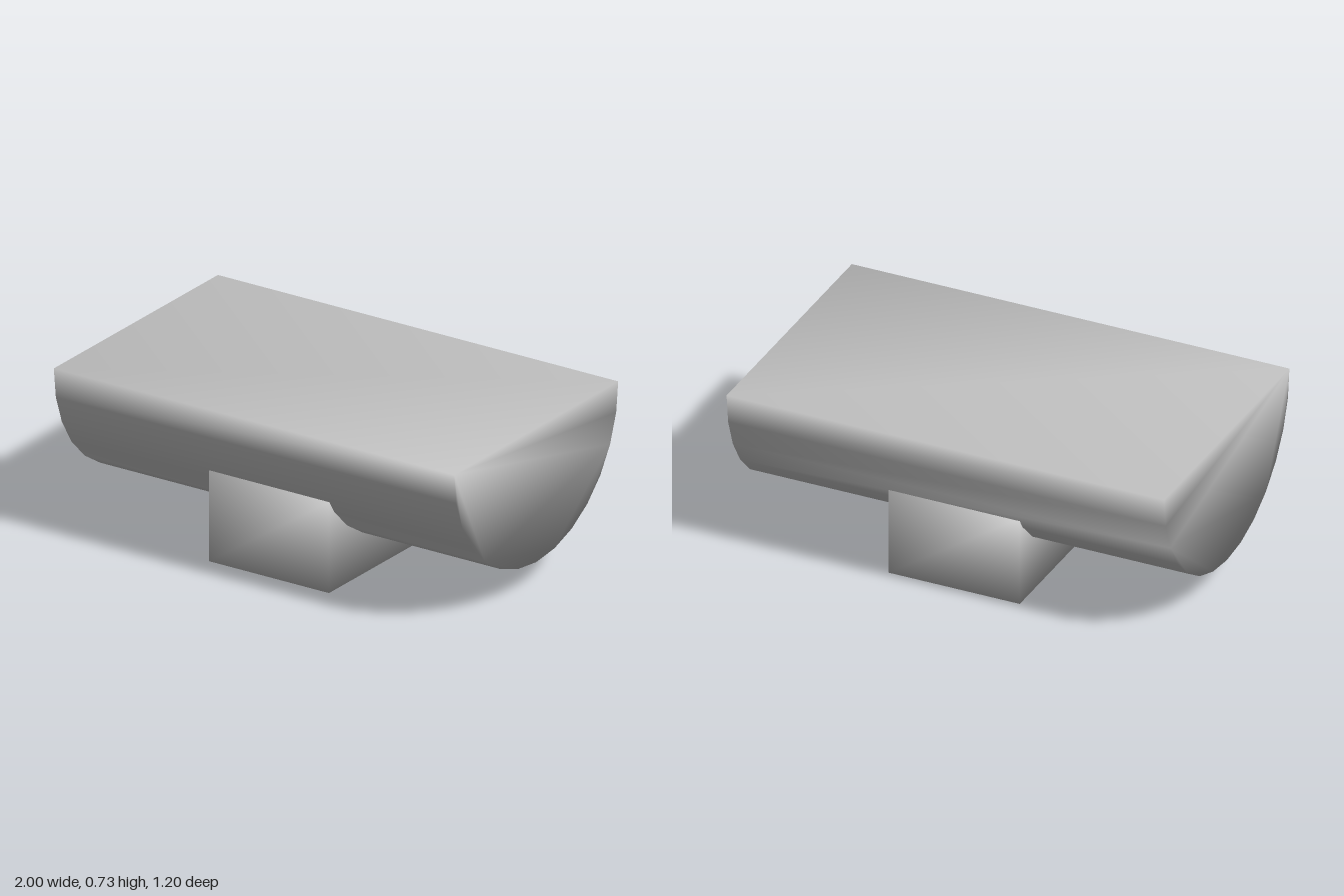
import * as THREE from 'three';
import { mergeVertices } from 'three/addons/utils/BufferGeometryUtils.js';

// Weld shared corners so the shading runs smoothly over the edges
function welded(geometry) {
  geometry.deleteAttribute('normal');
  geometry.deleteAttribute('uv');
  geometry.clearGroups();
  const merged = mergeVertices(geometry, 1e-4);
  merged.computeVertexNormals();
  return merged;
}

export function createModel() {
  const model = new THREE.Group();
  model.name = 'halfCylinderOnBlock';

  const gray = new THREE.MeshStandardMaterial({ color: 0xc0c0c0 });
  gray.name = 'gray';

  // Half cylinder lying along x, flat side up
  const radius = 0.6, segments = 14, length = 2, topY = 0.727;
  const points = [];
  for (let i = 0; i <= segments; i++) {
    const a = Math.PI * (1 + i / segments);
    points.push(new THREE.Vector2(radius * Math.cos(a), radius * Math.sin(a)));
  }
  const bodyGeometry = new THREE.ExtrudeGeometry(new THREE.Shape(points), {
    depth: length, bevelEnabled: false,
  });
  bodyGeometry.translate(0, 0, -length / 2).rotateY(Math.PI / 2).translate(0, topY, 0);
  const body = new THREE.Mesh(welded(bodyGeometry), gray);
  body.name = 'halfCylinder';
  model.add(body);

  // Supporting block crossing underneath
  const blockGeometry = new THREE.BoxGeometry(0.6, 0.406, 1);
  blockGeometry.translate(0.01, 0.203, 0.005);
  const block = new THREE.Mesh(welded(blockGeometry), gray);
  block.name = 'baseBlock';
  model.add(block);

  return model;
}
